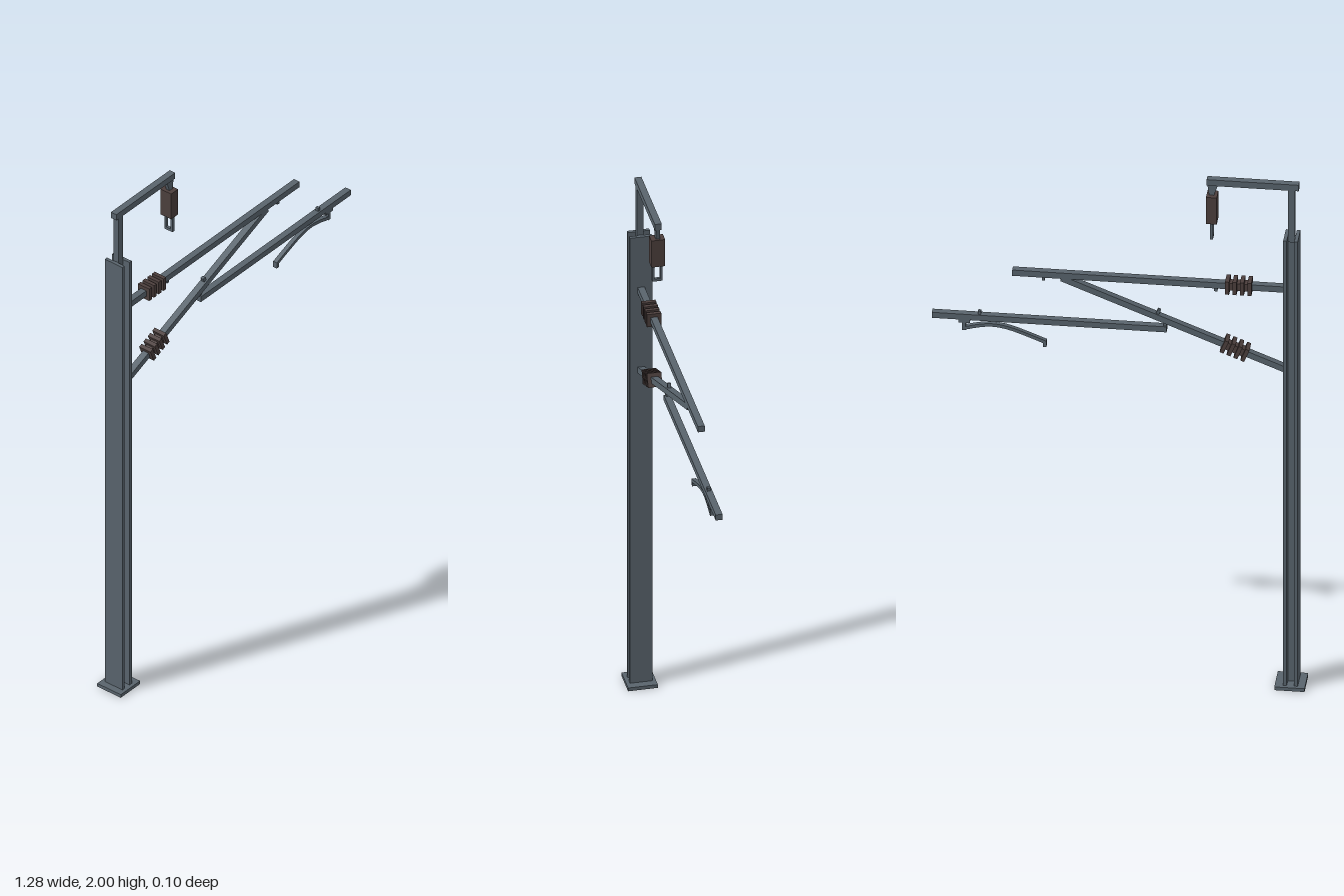
import * as THREE from 'three';

export function createModel() {
  const model = new THREE.Group();
  model.name = 'catenaryMast';
  const steel = new THREE.MeshStandardMaterial({ name: 'steel', color: 0x59646d });
  const ceramic = new THREE.MeshStandardMaterial({ name: 'brownCeramic', color: 0x4c3f3d });

  // Box from its x and y limits, centred on z unless moved
  function box(name, x0, x1, y0, y1, depth, material = steel, z = 0, parent = model) {
    const mesh = new THREE.Mesh(new THREE.BoxGeometry(x1 - x0, y1 - y0, depth), material);
    mesh.position.set((x0 + x1) / 2, (y0 + y1) / 2, z);
    mesh.name = name;
    parent.add(mesh);
    return mesh;
  }

  // Row of square insulator plates along local x
  function insulator(parent, start, y) {
    box('insulatorCore', start, start + 0.09, y - 0.014, y + 0.014, 0.028, ceramic, 0, parent);
    for (let i = 0; i < 4; i++) {
      const x = start + i * 0.0255;
      box('insulatorPlate', x, x + 0.014, y - 0.025, y + 0.025, 0.05, ceramic, 0, parent);
    }
  }

  // H-section post on a base plate
  box('basePlate', -0.645, -0.541, 0, 0.013, 0.104);
  const post = new THREE.Shape();
  [[-0.62, -0.039], [-0.608, -0.039], [-0.608, -0.007], [-0.582, -0.007], [-0.582, -0.039], [-0.57, -0.039],
    [-0.57, 0.039], [-0.582, 0.039], [-0.582, 0.007], [-0.608, 0.007], [-0.608, 0.039], [-0.62, 0.039]]
    .forEach(([x, y], i) => (i ? post.lineTo(x, y) : post.moveTo(x, y)));
  const postGeometry = new THREE.ExtrudeGeometry(post, { depth: 1.777, bevelEnabled: false });
  postGeometry.rotateX(-Math.PI / 2).translate(0, 0.013, 0);
  const postMesh = new THREE.Mesh(postGeometry, steel);
  postMesh.name = 'post';
  model.add(postMesh);

  // Top bracket with hanging insulator and yoke
  box('topUpright', -0.607, -0.584, 1.77, 1.98, 0.023);
  box('topArm', -0.62, -0.304, 1.976, 2, 0.024);
  const neck = new THREE.Shape([[-0.342, 1.976], [-0.306, 1.976], [-0.312, 1.935], [-0.328, 1.935]]
    .map(([x, y]) => new THREE.Vector2(x, y)).reverse());
  const neckMesh = new THREE.Mesh(new THREE.ExtrudeGeometry(neck, { depth: 0.014, bevelEnabled: false }), steel);
  neckMesh.position.z = -0.007;
  neckMesh.name = 'hangerNeck';
  model.add(neckMesh);
  box('hangingInsulator', -0.34, -0.303, 1.83, 1.936, 0.048, ceramic);
  for (const side of [-1, 1]) box('yokeProng', -0.326, -0.316, 1.765, 1.832, 0.008, steel, side * 0.014);
  box('yokeBar', -0.326, -0.316, 1.765, 1.775, 0.036);

  // Upper arm
  box('upperArm', -0.572, 0.364, 1.567, 1.59, 0.024);
  insulator(model, -0.459, 1.578);
  box('upperArmClip', -0.34, -0.329, 1.552, 1.57, 0.012);
  box('upperArmClip', 0.253, 0.263, 1.552, 1.57, 0.012);

  // Diagonal brace, built level then tilted
  const brace = new THREE.Group();
  brace.name = 'diagonalBrace';
  brace.position.set(-0.575, 1.258, 0);
  brace.rotation.z = Math.atan2(0.312, 0.775);
  model.add(brace);
  box('braceBar', 0, 0.83, -0.011, 0.011, 0.024, steel, 0, brace);
  insulator(brace, 0.142, 0);
  box('braceClip', 0.474, 0.485, 0.008, 0.028, 0.012, steel, 0, brace);

  // Lower registration arm and its fittings
  box('lowerArm', -0.166, 0.64, 1.379, 1.401, 0.024);
  box('lowerArmLink', -0.166, -0.155, 1.379, 1.425, 0.014);
  box('lowerArmClip', 0.472, 0.482, 1.4, 1.414, 0.012);
  box('dropBracketTop', 0.51, 0.548, 1.366, 1.381, 0.02);
  box('dropBracket', 0.524, 0.537, 1.336, 1.37, 0.016);

  // Curved steady arm: a strip offset to both sides of a curve
  const curve = new THREE.CatmullRomCurve3([[0.25, 1.306], [0.31, 1.33], [0.375, 1.353], [0.43, 1.362],
    [0.48, 1.356], [0.532, 1.342]].map(([x, y]) => new THREE.Vector3(x, y, 0)));
  const upper = [], lower = [];
  for (let i = 0; i <= 14; i++) {
    const p = curve.getPoint(i / 14), t = curve.getTangent(i / 14);
    upper.push(new THREE.Vector2(p.x - t.y * 0.006, p.y + t.x * 0.006));
    lower.push(new THREE.Vector2(p.x + t.y * 0.006, p.y - t.x * 0.006));
  }
  const steadyGeometry = new THREE.ExtrudeGeometry(new THREE.Shape([...lower, ...upper.reverse()]),
    { depth: 0.016, bevelEnabled: false });
  const steady = new THREE.Mesh(steadyGeometry, steel);
  steady.position.z = -0.008;
  steady.name = 'steadyArm';
  model.add(steady);
  box('wireClamp', 0.247, 0.258, 1.288, 1.312, 0.016);

  return model;
}
